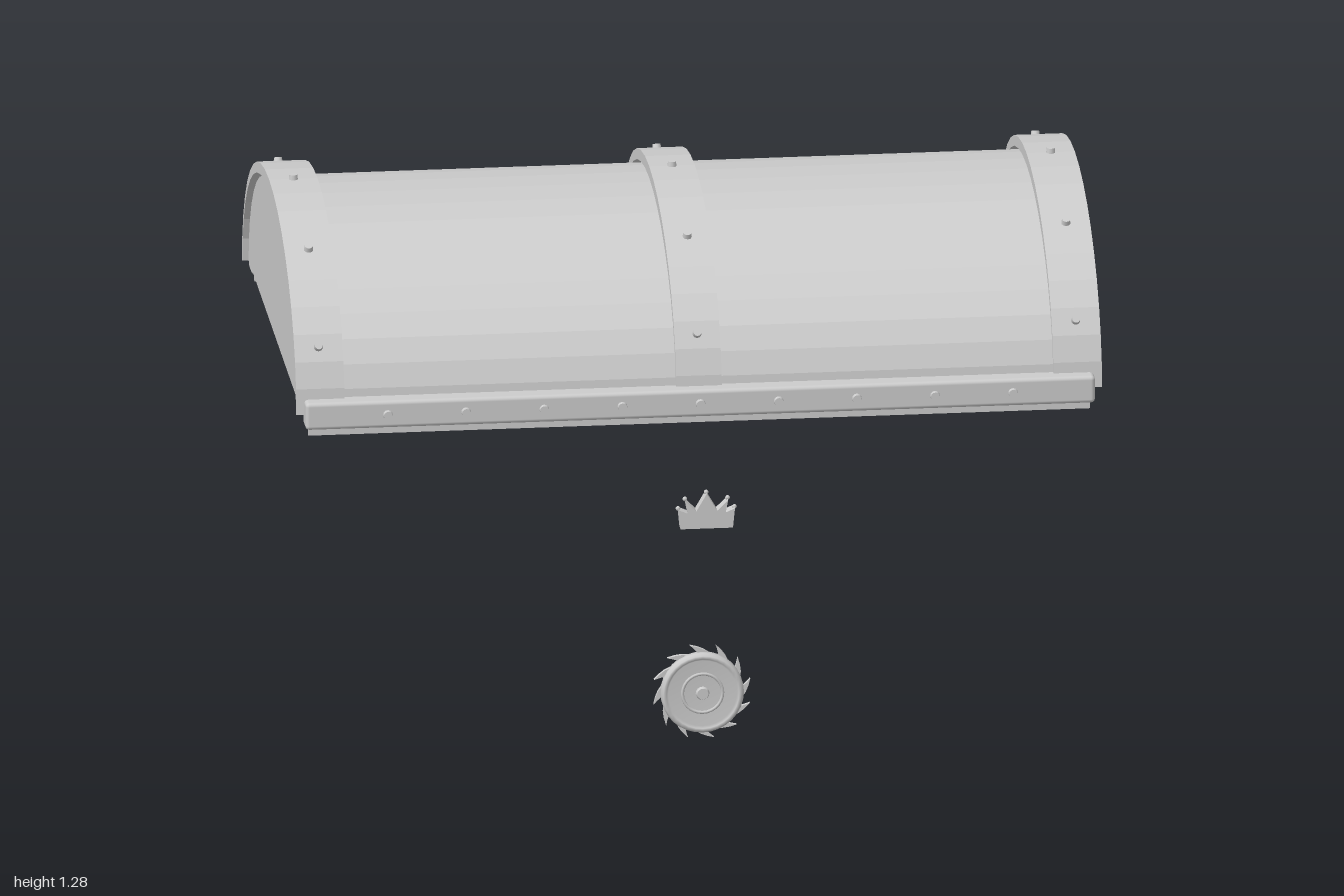
import * as THREE from 'three';
import { RoundedBoxGeometry } from 'three/addons/geometries/RoundedBoxGeometry.js';

const gray = new THREE.MeshStandardMaterial({ color: 0xcccccc });
gray.name = 'plain gray';

const BASE = 0.86; // height of the lid's lower edge
const MID = -0.065; // z of the lid's centre line

export function createModel() {
  const model = new THREE.Group();
  model.name = 'chestLid';

  function add(name, geometry, x = 0, y = 0, z = 0, parent = model) {
    const mesh = new THREE.Mesh(geometry, gray);
    mesh.name = name;
    mesh.position.set(x, y, z);
    parent.add(mesh);
    return mesh;
  }

  // point on a half ellipse, angle measured from straight up
  const onArc = (a, b, t) => new THREE.Vector2(a * Math.sin(t), b * Math.cos(t));

  // piece of an elliptical shell running along x, centred on x = 0
  function archGeometry(outer, inner, from, to, steps, width) {
    const points = [];
    for (let i = 0; i <= steps; i++) points.push(onArc(...outer, from + (to - from) * i / steps));
    if (inner) for (let i = steps; i >= 0; i--) points.push(onArc(...inner, from + (to - from) * i / steps));
    const g = new THREE.ExtrudeGeometry(new THREE.Shape(points), { depth: width, bevelEnabled: false });
    return g.translate(0, 0, -width / 2).rotateY(Math.PI / 2);
  }

  // ten curved planks
  for (let i = 0; i < 10; i++) {
    const from = -Math.PI / 2 + i * Math.PI / 10;
    add('plank', archGeometry([0.6, 0.37], [0.583, 0.352], from, from + Math.PI / 10, 2, 1.93), 0, BASE, MID);
  }

  // solid end panels
  for (const s of [-1, 1]) {
    add('endPanel', archGeometry([0.602, 0.37], null, -Math.PI / 2, Math.PI / 2, 20, 0.025), s * 0.972, BASE, MID);
  }

  // three arched bands with bolts
  for (const [x, width] of [[-0.94, 0.12], [0, 0.113], [0.94, 0.12]]) {
    add('band', archGeometry([0.61, 0.41], [0.6, 0.38], -Math.PI / 2, Math.PI / 2, 20, width), x, BASE, MID);
    for (const degrees of [-67, -34, 0, 34, 67]) {
      const t = THREE.MathUtils.degToRad(degrees);
      const p = onArc(0.61, 0.41, t);
      const bolt = add('bandBolt', new THREE.CylinderGeometry(0.01, 0.013, 0.024, 10), x, BASE + p.y, MID + p.x);
      bolt.rotation.x = Math.atan2(Math.sin(t) / 0.61, Math.cos(t) / 0.41);
    }
  }

  // long edge rails and the thin skirts beneath them
  for (const s of [-1, 1]) {
    add('edgeRail', new RoundedBoxGeometry(1.96, 0.07, 0.064, 2, 0.01), 0, 0.863, MID + s * 0.608);
    add('skirt', new THREE.BoxGeometry(1.94, 0.06, 0.01), 0, 0.835, MID + s * 0.603);
  }

  // bolts along the front rail
  for (let i = -4; i <= 4; i++) {
    const bolt = add('railBolt', new THREE.CylinderGeometry(0.011, 0.013, 0.016, 12), i * 0.194, 0.863, 0.577);
    bolt.rotation.x = Math.PI / 2;
  }

  // small crown
  const crown = new THREE.Group();
  crown.name = 'crown';
  crown.position.set(0, 0.585, 0.685);
  model.add(crown);
  const half = [[0.065, 0], [0.07, 0.05], [0.047, 0.04], [0.053, 0.072], [0.026, 0.045]];
  const outline = [...half, [0, 0.09], ...half.map(([x, y]) => [-x, y]).reverse()];
  const crownShape = new THREE.Shape(outline.map(([x, y]) => new THREE.Vector2(x, y)));
  add('crownBody', new THREE.ExtrudeGeometry(crownShape, { depth: 0.03, bevelEnabled: false }), 0, 0, 0, crown);
  for (const [x, y] of [[-0.07, 0.05], [-0.053, 0.074], [0, 0.09], [0.053, 0.074], [0.07, 0.05]]) {
    add('crownTip', new THREE.SphereGeometry(0.006, 8, 6), x, y, 0.015, crown);
  }

  // round medallion with a raised rim and a plain boss
  const medallion = new THREE.Group();
  medallion.name = 'medallion';
  medallion.position.set(0, 0.125, 0.596);
  model.add(medallion);
  const profile = [[0, 0], [0.095, 0], [0.103, 0.006], [0.103, 0.022], [0.098, 0.031], [0.09, 0.031], [0.085, 0.024], [0, 0.024]];
  const disc = new THREE.LatheGeometry(profile.map(([r, y]) => new THREE.Vector2(r, y)), 32);
  add('medallionDisc', disc.rotateX(Math.PI / 2), 0, 0, 0, medallion);
  add('medallionRing', new THREE.TorusGeometry(0.05, 0.004, 6, 28), 0, 0, 0.024, medallion);
  add('medallionBoss', new THREE.CylinderGeometry(0.014, 0.018, 0.01, 16).rotateX(Math.PI / 2), 0, 0, 0.027, medallion);

  // leaning teeth around the medallion
  const tooth = new THREE.Shape();
  tooth.moveTo(0.09, -0.026);
  tooth.quadraticCurveTo(0.112, -0.012, 0.12, 0.03);
  tooth.quadraticCurveTo(0.106, 0.012, 0.09, 0.004);
  const toothGeometry = new THREE.ExtrudeGeometry(tooth, { depth: 0.01, bevelEnabled: false, curveSegments: 4 });
  for (let i = 0; i < 12; i++) {
    add('medallionTooth', toothGeometry, 0, 0, 0.001, medallion).rotation.z = i * Math.PI / 6;
  }

  return model;
}
